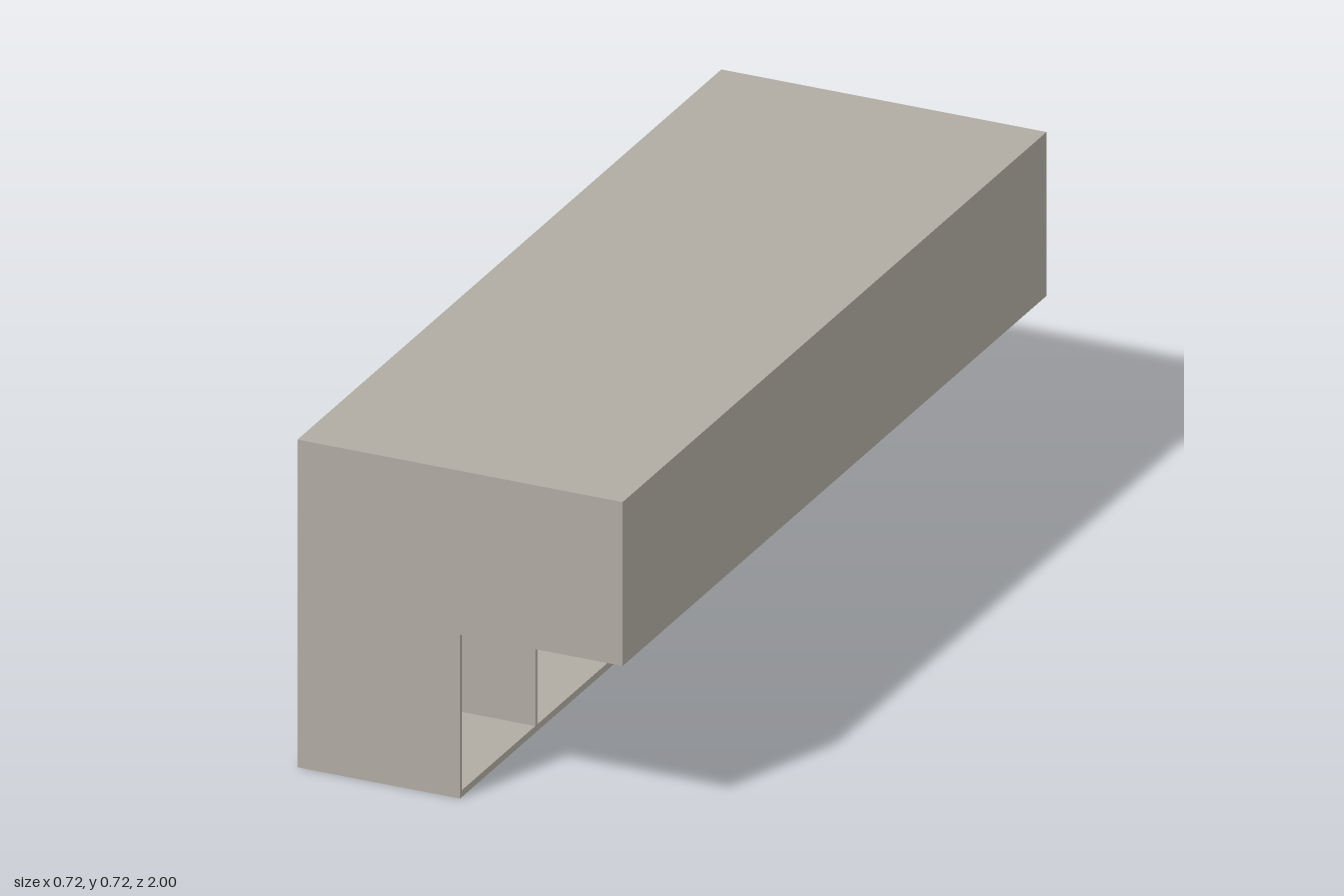
import * as THREE from 'three';

export function createModel() {
  const model = new THREE.Group();
  const stone = new THREE.MeshStandardMaterial({ color: 0xb0aca3 });
  stone.name = 'warmGrey';

  // Box given by its lower and upper limits on each axis
  function box(name, [x0, x1], [y0, y1], [z0, z1]) {
    const mesh = new THREE.Mesh(new THREE.BoxGeometry(x1 - x0, y1 - y0, z1 - z0), stone);
    mesh.position.set((x0 + x1) / 2, (y0 + y1) / 2, (z0 + z1) / 2);
    mesh.name = name;
    model.add(mesh);
  }

  // Upright L-shaped panel, inset from the outer outline on its closed sides
  function panel(name, z, thickness, inset) {
    const a = 0.36 - inset, top = 0.72 - inset;
    const outline = [[-a, inset], [0, inset], [0, 0.36], [a, 0.36], [a, top], [-a, top]];
    const shape = new THREE.Shape(outline.map(([x, y]) => new THREE.Vector2(x, y)));
    const geometry = new THREE.ExtrudeGeometry(shape, { depth: thickness, bevelEnabled: false });
    const mesh = new THREE.Mesh(geometry, stone);
    mesh.position.z = z - thickness / 2;
    mesh.name = name;
    model.add(mesh);
  }

  // Shell, open under the overhang and along the recessed side
  const t = 0.01, length = [-1 + t, 1 - t];
  panel('frontWall', 1 - t / 2, t, 0);
  panel('backWall', -1 + t / 2, t, 0);
  box('roof', [-0.36, 0.36], [0.72 - t, 0.72], length);
  box('sideWall', [-0.36, -0.36 + t], [0, 0.72 - t], length);
  box('overhangWall', [0.36 - t, 0.36], [0.36, 0.72 - t], length);
  box('floor', [-0.36 + t, 0], [0, 0.015], length);

  // Room partitions
  for (const z of [0.64, -0.04, -0.395, -0.73]) panel('partition', z, t, t);

  // Tall cabinets on low plinths, either side of the last partition
  box('plinth', [-0.345, -0.015], [0.015, 0.03], [-0.724, -0.61]);
  box('plinth', [-0.345, -0.015], [0.015, 0.03], [-0.86, -0.736]);
  box('cabinet', [-0.33, -0.05], [0.03, 0.6], [-0.72, -0.62]);
  box('cabinet', [-0.33, -0.13], [0.03, 0.6], [-0.85, -0.745]);

  // Row of three raised blocks with forward rods
  for (const x of [-0.1, -0.18, -0.26]) {
    box('block', [x - 0.026, x + 0.024], [0.335, 0.405], [0.13, 0.34]);
    box('rod', [x, x + 0.012], [0.355, 0.367], [0.34, 0.45]);
  }

  // Cross rail in front of the blocks
  box('rail', [-0.245, -0.02], [0.228, 0.242], [0.458, 0.472]);

  return model;
}
